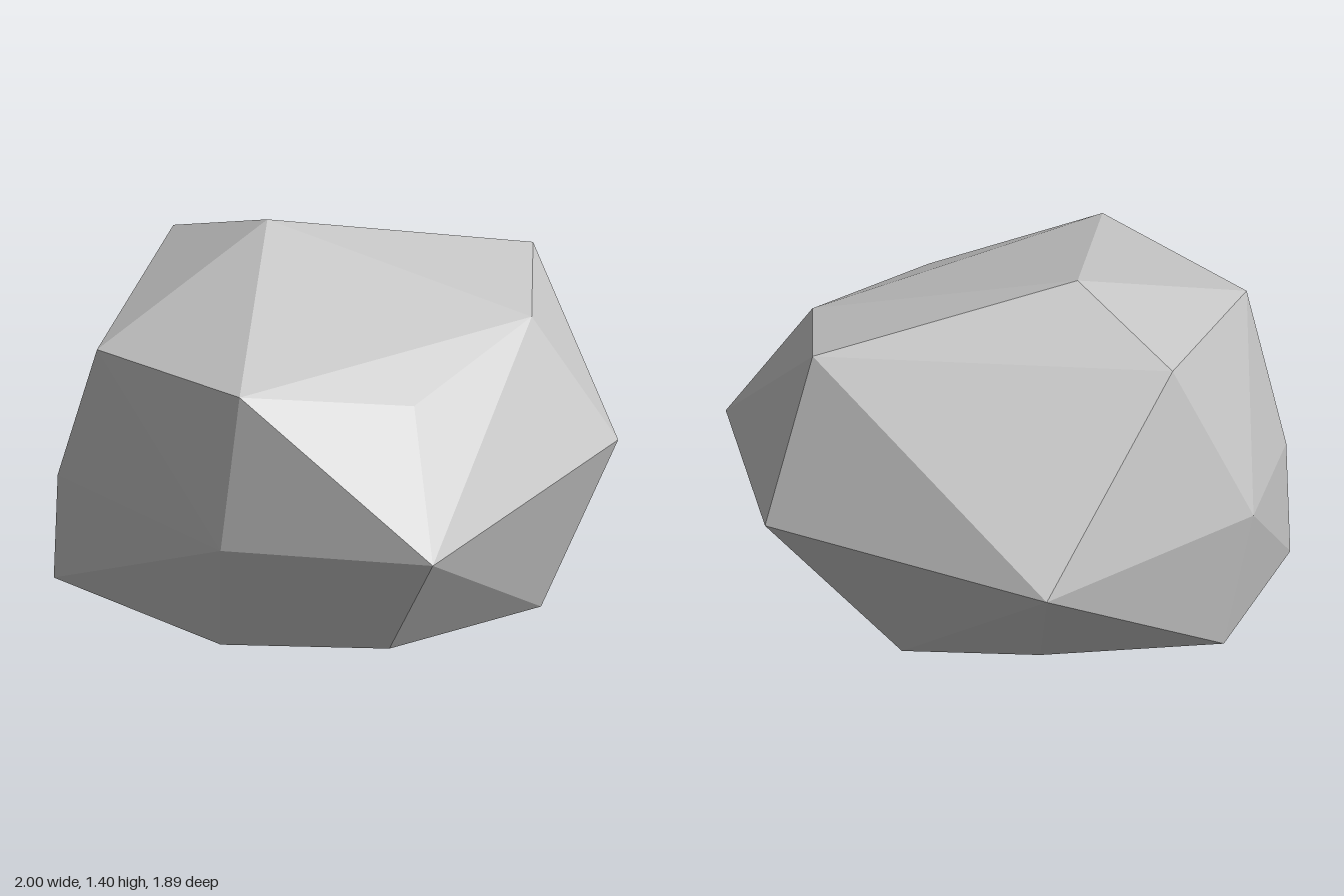
import * as THREE from 'three';
import { ConvexGeometry } from 'three/addons/geometries/ConvexGeometry.js';

// Corner points of the boulder, grouped by height
const crown = [
  [-0.26, 1.40, -0.10], [0.67, 1.20, -0.33], [-0.61, 1.20, -0.37], [-0.31, 1.16, 0.725],
  [0.69, 1.14, 0.08], [-0.84, 1.10, 0.33], [0.30, 1.04, 0.55],
];
const waist = [
  [1.00, 0.67, 0.13], [0.39, 0.62, 0.945], [0.83, 0.61, -0.53], [-0.19, 0.585, -0.95],
  [-0.895, 0.57, -0.32], [-0.375, 0.545, 0.765], [-0.985, 0.52, 0.24],
];
const base = [
  [-0.15, 0.14, -0.60], [0.22, 0.115, 0.69], [-1.00, 0.08, 0.22], [-0.79, 0.035, -0.33],
  [0.35, 0.015, -0.40], [0.73, 0.01, 0.20], [-0.39, 0.00, 0.51],
];

export function createModel() {
  const stone = new THREE.MeshStandardMaterial({ color: 0xc4c4c4 });
  stone.name = 'paleStoneGrey';

  // Faceted stone: the hull around the three rings of corners
  const corners = [...crown, ...waist, ...base].map((p) => new THREE.Vector3(...p));
  const boulder = new THREE.Mesh(new ConvexGeometry(corners), stone);
  boulder.name = 'boulder';

  const model = new THREE.Group();
  model.name = 'rock';
  model.add(boulder);
  return model;
}
